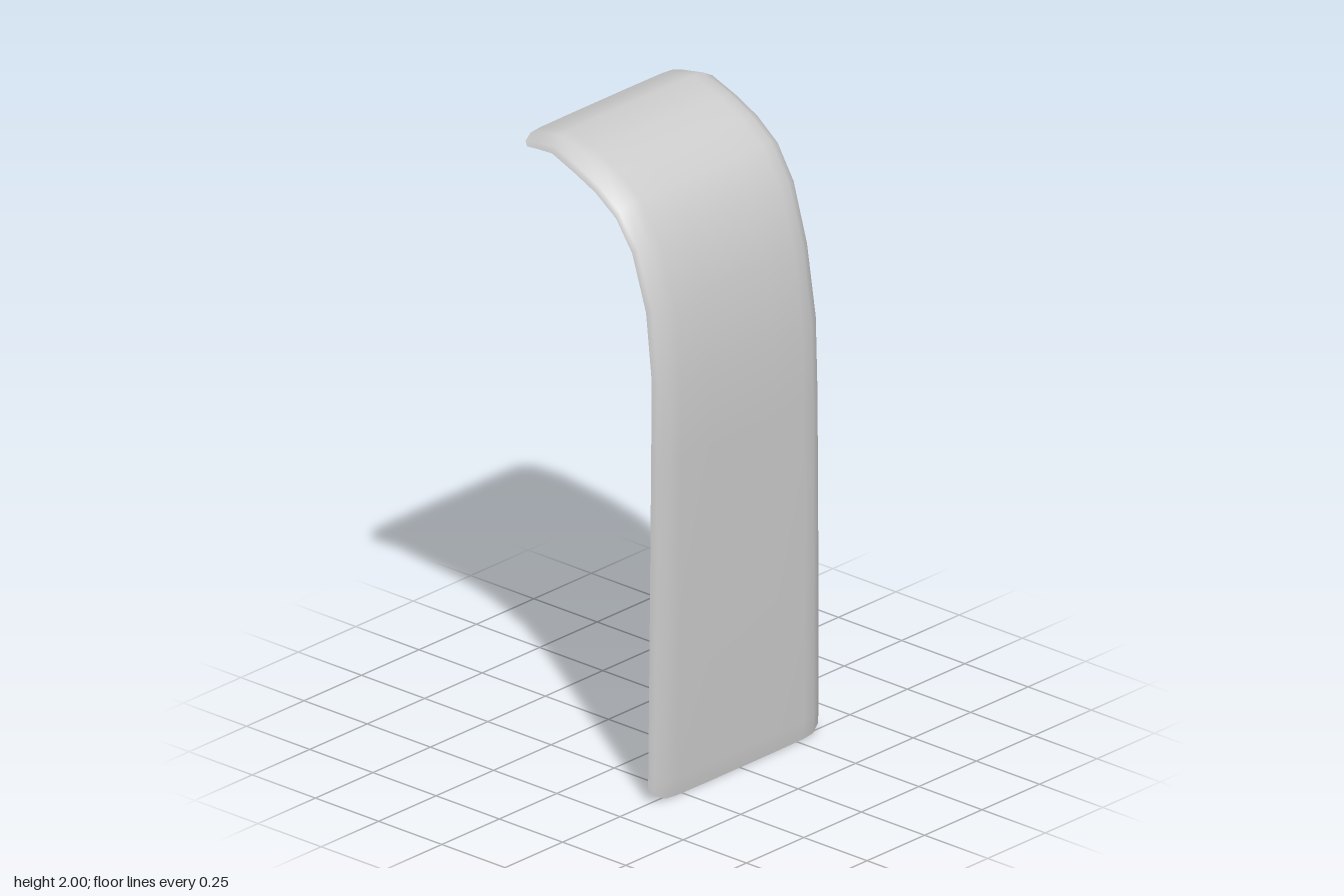
import * as THREE from 'three';

// Stations from bottom to top: face [z, y], rim of the turned-back side [z, y], half width
const stations = [
  [0.27, 0.0, 0.24, 0.04, 0.367],
  [0.275, 0.06, 0.24, 0.08, 0.366],
  [0.28, 0.55, 0.242, 0.55, 0.362],
  [0.281, 1.08, 0.243, 1.08, 0.357],
  [0.278, 1.31, 0.241, 1.34, 0.352],
  [0.25, 1.56, 0.212, 1.55, 0.345],
  [0.19, 1.75, 0.16, 1.725, 0.348],
  [0.115, 1.86, 0.10, 1.82, 0.352],
  [0.035, 1.92, 0.02, 1.88, 0.354],
  [-0.05, 1.963, -0.06, 1.918, 0.355],
  [-0.16, 2.0, -0.15, 1.955, 0.355],
  [-0.24, 1.984, -0.21, 1.952, 0.355],
  [-0.28, 1.972, -0.25, 1.948, 0.355],
];

// Half of the cross-section: [fraction of half width, blend from face to rim]
const half = [[0.4, 0], [0.75, 0.02], [0.87, 0.1], [0.975, 0.55], [1, 1]];
const section = [
  ...half.map(([u, t]) => [-u, t]).reverse(),
  [0, 0],
  ...half,
];

// Loft the section along the stations into an open sheet
function loftSheet() {
  const positions = [];
  const indices = [];
  const n = section.length;
  stations.forEach(([z0, y0, z1, y1, w], i) => {
    for (const [u, t] of section) {
      positions.push(u * w, y0 + (y1 - y0) * t, z0 + (z1 - z0) * t);
    }
    if (i === 0) return;
    for (let j = 0; j < n - 1; j++) {
      const a = (i - 1) * n + j;
      const b = a + 1;
      const c = b + n;
      const d = a + n;
      indices.push(a, b, c, a, c, d);
    }
  });
  const geometry = new THREE.BufferGeometry();
  geometry.setAttribute('position', new THREE.Float32BufferAttribute(positions, 3));
  geometry.setIndex(indices);
  geometry.computeVertexNormals();
  return geometry;
}

export function createModel() {
  const group = new THREE.Group();
  group.name = 'curvedPanel';
  const material = new THREE.MeshStandardMaterial({ color: 0xcccccc, side: THREE.DoubleSide });

  // Upright sheet that curls back at the top, with turned-back sides and cut corners
  const sheet = new THREE.Mesh(loftSheet(), material);
  sheet.name = 'panelSheet';
  group.add(sheet);
  return group;
}
